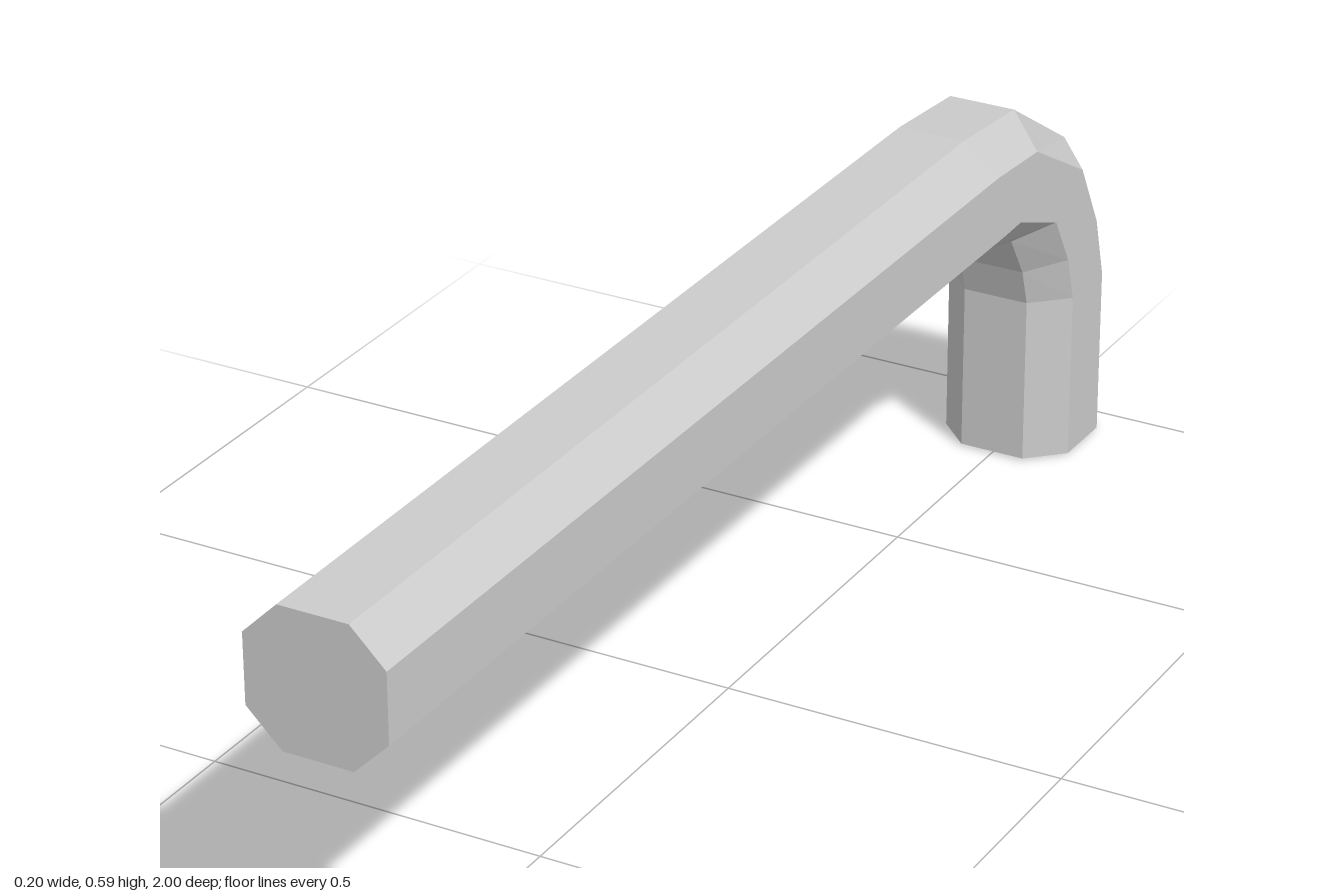
import * as THREE from 'three';

// Stations along the bar: outer and inner side of the bend as [z, y]
const STATIONS = [
  { outer: [1, 0.594], inner: [1, 0.396] },
  { outer: [-0.585, 0.594], inner: [-0.635, 0.396] },
  { outer: [-0.742, 0.582], inner: [-0.645, 0.402] },
  { outer: [-0.913, 0.474], inner: [-0.745, 0.376] },
  { outer: [-0.972, 0.36], inner: [-0.785, 0.311] },
  { outer: [-1, 0.253], inner: [-0.802, 0.255] },
  { outer: [-1, 0], inner: [-0.802, 0.003] },
];

// Eight-sided section: [x, fraction from outer to inner side]
const SECTION = [
  [0.05, 0], [0.1, 0.25], [0.1, 0.75], [0.05, 1],
  [-0.05, 1], [-0.1, 0.75], [-0.1, 0.25], [-0.05, 0],
];

function bentBarGeometry() {
  const n = SECTION.length;
  const last = STATIONS.length - 1;
  const positions = [];
  const index = [];

  for (const { outer, inner } of STATIONS) {
    for (const [x, t] of SECTION) {
      positions.push(
        x,
        THREE.MathUtils.lerp(outer[1], inner[1], t),
        THREE.MathUtils.lerp(outer[0], inner[0], t)
      );
    }
  }

  // Side walls
  for (let i = 0; i < last; i++) {
    for (let k = 0; k < n; k++) {
      const a = i * n + k;
      const b = i * n + ((k + 1) % n);
      index.push(a, b, a + n, a + n, b, b + n);
    }
  }

  // Flat end caps
  for (let k = 1; k < n - 1; k++) {
    const e = last * n;
    index.push(0, k + 1, k);
    index.push(e, e + k, e + k + 1);
  }

  const geometry = new THREE.BufferGeometry();
  geometry.setAttribute('position', new THREE.Float32BufferAttribute(positions, 3));
  geometry.setIndex(index);
  const faceted = geometry.toNonIndexed();
  faceted.computeVertexNormals();
  return faceted;
}

export function createModel() {
  const group = new THREE.Group();
  group.name = 'hexKey';
  const material = new THREE.MeshStandardMaterial({ color: 0xcccccc, flatShading: true });
  const bar = new THREE.Mesh(bentBarGeometry(), material);
  bar.name = 'bentBar';
  group.add(bar);
  return group;
}
